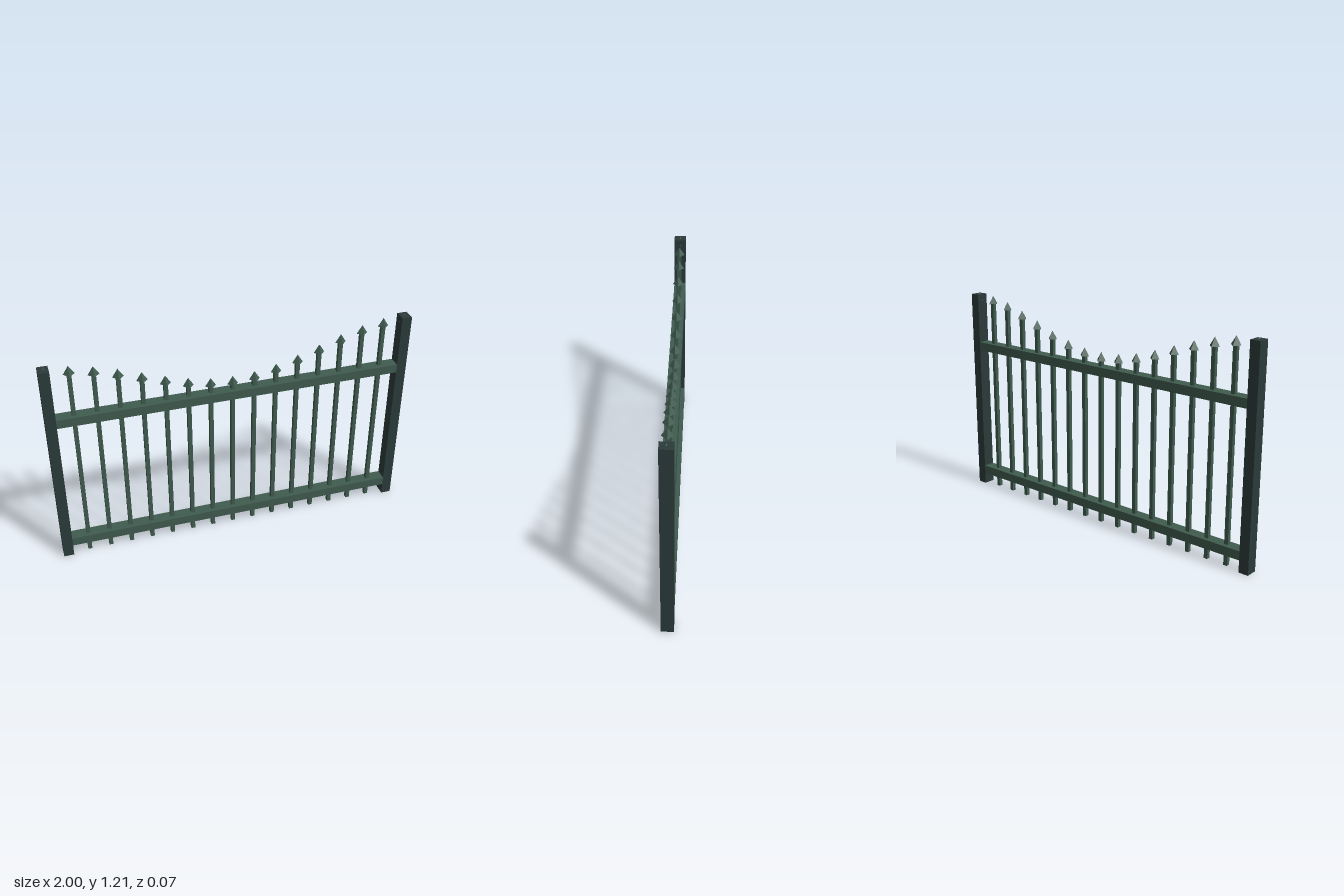
import * as THREE from 'three';

const DEPTH = 0.067;      // posts and rails share one depth
const POST_WIDTH = 0.056;
const POST_HEIGHT = 1.2;
const SPACING = 0.1212;
const HALF_COUNT = 8;     // bars on each side of the middle one
const BAR_SIZE = 0.022;
const HEAD_HEIGHT = 0.047;

export function createModel() {
  const group = new THREE.Group();
  const green = new THREE.MeshStandardMaterial({ name: 'fence green', color: 0x3f5b4f });
  const dark = new THREE.MeshStandardMaterial({ name: 'dark post', color: 0x2b3a3a });

  function add(name, geometry, material, x, y) {
    const mesh = new THREE.Mesh(geometry, material);
    mesh.name = name;
    mesh.position.set(x, y, 0);
    group.add(mesh);
  }

  // End posts
  const postX = 1 - POST_WIDTH / 2;
  for (const [side, name] of [[1, 'leftPost'], [-1, 'rightPost']]) {
    add(name, new THREE.BoxGeometry(POST_WIDTH, POST_HEIGHT, DEPTH), dark, side * postX, POST_HEIGHT / 2);
  }

  // Horizontal rails between the posts
  const railLength = 2 - 2 * POST_WIDTH;
  for (const [y, name] of [[0.092, 'lowerRail'], [0.888, 'upperRail']]) {
    add(name, new THREE.BoxGeometry(railLength, 0.05, DEPTH), green, 0, y);
  }

  // Upright bars, whose tips follow a cosine dip towards the middle
  const head = new THREE.ConeGeometry(0.03, HEAD_HEIGHT, 4).toNonIndexed();
  head.computeVertexNormals();
  for (let i = -HALF_COUNT; i <= HALF_COUNT; i++) {
    const x = i * SPACING;
    const tip = 1.1 - 0.11 * Math.cos(Math.PI * i / HALF_COUNT);
    const barTop = tip - HEAD_HEIGHT;
    // The outermost bars run inside the posts, so only their tips show
    if (Math.abs(i) < HALF_COUNT) {
      add('bar', new THREE.BoxGeometry(BAR_SIZE, barTop, BAR_SIZE), green, x, barTop / 2);
    }
    add('spearHead', head, green, x, barTop + HEAD_HEIGHT / 2);
  }

  return group;
}
